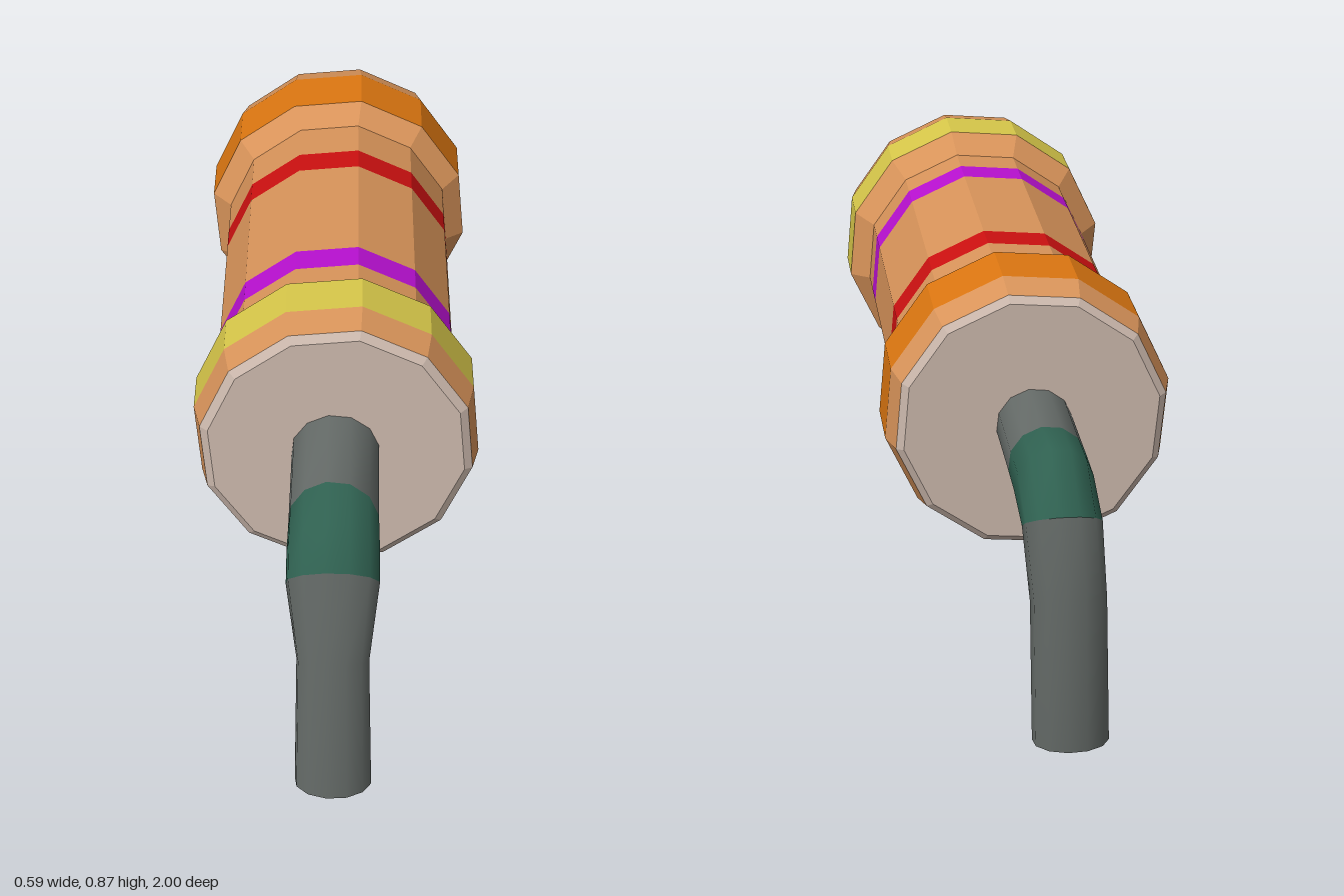
import * as THREE from 'three';

const SIDES = 12;
const COLORS = {
  tan: 0xd9945a, cap: 0xcbb8ac, yellow: 0xd8c84a, purple: 0xb810d0,
  red: 0xcc1010, orange: 0xdd7711, wire: 0x666c69, elbow: 0x2f6050,
};

// Twelve-sided turned section along z; profile is [radius, z] from back to front
function turned(name, color, profile) {
  const geo = new THREE.LatheGeometry(
    profile.map(([r, z]) => new THREE.Vector2(r, z)), SIDES, THREE.MathUtils.degToRad(20));
  geo.rotateX(Math.PI / 2);
  const mesh = new THREE.Mesh(geo, new THREE.MeshStandardMaterial({ color, flatShading: true }));
  mesh.name = name;
  return mesh;
}

// Smooth tube through elliptical rings: [x, y, z, half width, dy, dz],
// where (dy, dz) is the ring's other half axis; dir is +1 front, -1 back
function tube(name, color, rings, dir, capped = false) {
  const pos = [], index = [];
  const addRing = ([x, y, z, w, dy, dz]) => {
    for (let j = 0; j < SIDES; j++) {
      const a = ((j + 0.3) / SIDES) * Math.PI * 2;
      pos.push(x + dir * w * Math.cos(a), y + dy * Math.sin(a), z + dz * Math.sin(a));
    }
  };
  rings.forEach(addRing);
  for (let i = 0; i < rings.length - 1; i++) {
    for (let j = 0; j < SIDES; j++) {
      const k = (j + 1) % SIDES;
      const a = i * SIDES + j, b = i * SIDES + k;
      index.push(a, b, b + SIDES, a, b + SIDES, a + SIDES);
    }
  }
  // End disc gets its own ring so that its edge stays sharp
  if (capped) {
    const start = pos.length / 3;
    addRing(rings[rings.length - 1]);
    for (let j = 1; j < SIDES - 1; j++) index.push(start, start + j, start + j + 1);
  }
  const geo = new THREE.BufferGeometry();
  geo.setAttribute('position', new THREE.Float32BufferAttribute(pos, 3));
  geo.setIndex(index);
  geo.computeVertexNormals();
  const mesh = new THREE.Mesh(geo, new THREE.MeshStandardMaterial({ color }));
  mesh.name = name;
  return mesh;
}

// Lead: straight wire, coloured elbow, then the leg down to the ground
function lead(name, dir, wire, elbow, leg) {
  const g = new THREE.Group();
  g.name = name;
  const start = wire[wire.length - 1], end = leg[0];
  g.add(
    tube(name + 'Wire', COLORS.wire, wire, dir),
    tube(name + 'Elbow', COLORS.elbow, [start, ...elbow, end], dir),
    tube(name + 'Leg', COLORS.wire, leg, dir, true));
  return g;
}

export function createModel() {
  const model = new THREE.Group();
  model.name = 'resistor';

  // Body with colour bands, slightly tilted
  const body = new THREE.Group();
  body.name = 'body';
  const R = 0.297, r = 0.255;
  body.add(
    turned('backCap', COLORS.cap, [[0, -0.6], [0.265, -0.6], [0.28, -0.588]]),
    turned('backRim', COLORS.tan, [[0.28, -0.588], [R, -0.525]]),
    turned('orangeBand', COLORS.orange, [[R, -0.525], [R, -0.388]]),
    turned('backShoulder', COLORS.tan, [[R, -0.388], [r, -0.345], [r, -0.225]]),
    turned('redBand', COLORS.red, [[r, -0.225], [r, -0.15]]),
    turned('middle', COLORS.tan, [[r, -0.15], [r, 0.21]]),
    turned('purpleBand', COLORS.purple, [[r, 0.21], [r, 0.283]]),
    turned('frontShoulder', COLORS.tan, [[r, 0.283], [r, 0.362], [R, 0.41]]),
    turned('yellowBand', COLORS.yellow, [[R, 0.41], [R, 0.52]]),
    turned('frontRim', COLORS.tan, [[R, 0.52], [0.282, 0.588]]),
    turned('frontCap', COLORS.cap, [[0.282, 0.588], [0.265, 0.6], [0, 0.6]]));
  body.position.y = 0.565;
  body.rotation.set(-0.026, 0.009, 0);
  model.add(body);

  model.add(lead('frontLead', 1,
    [[0.003, 0.578, 0.55, 0.09, 0.088, 0], [0.003, 0.578, 0.833, 0.09, 0.088, -0.012]],
    [[0.003, 0.553, 0.888, 0.092, 0.078, 0.027]],
    [[0.003, 0.498, 0.925, 0.093, 0.057, 0.042],
      [0.003, 0.32, 0.943, 0.073, 0.02, 0.047],
      [0.003, 0, 0.945, 0.079, 0, 0.055]]));

  model.add(lead('backLead', -1,
    [[-0.01, 0.547, -0.55, 0.078, 0.078, 0], [-0.01, 0.547, -0.795, 0.078, 0.078, 0]],
    [[-0.014, 0.532, -0.855, 0.078, 0.088, -0.04]],
    [[-0.02, 0.482, -0.935, 0.078, 0.033, -0.046],
      [-0.033, 0.32, -0.94, 0.075, 0.025, -0.06],
      [-0.043, 0, -0.92, 0.077, 0, -0.055]]));

  return model;
}
